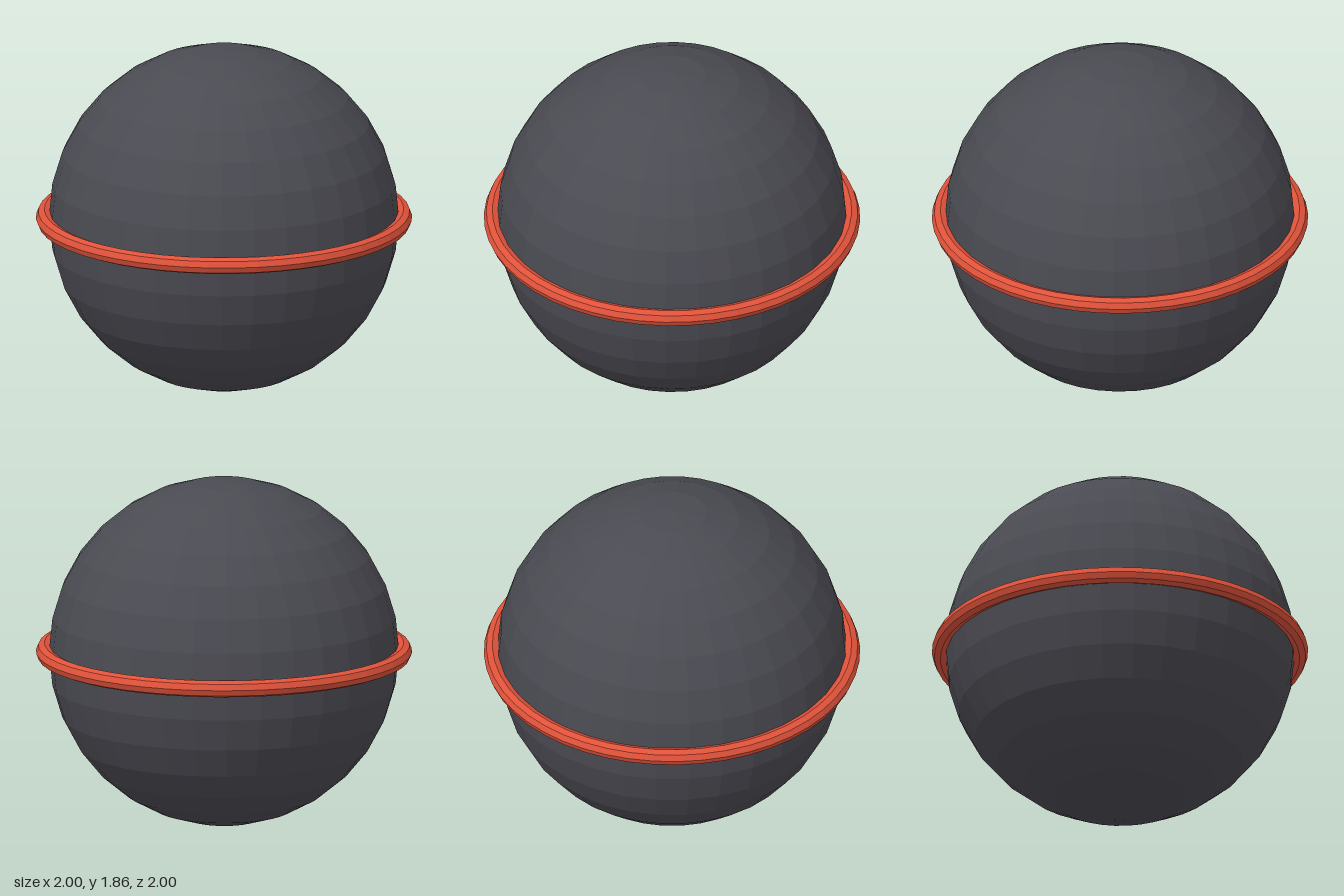
import * as THREE from 'three';

const RADIUS = 0.93;

function addPart(group, name, geometry, color) {
  const material = new THREE.MeshStandardMaterial({ color, flatShading: true });
  const mesh = new THREE.Mesh(geometry, material);
  mesh.name = name;
  mesh.position.y = RADIUS;
  group.add(mesh);
  return mesh;
}

export function createModel() {
  const group = new THREE.Group();
  group.name = 'bandedBall';

  // Faceted ball resting on the ground
  addPart(group, 'ball', new THREE.SphereGeometry(RADIUS, 32, 16), 0x4a4a52);

  // Round band lying flat around the equator
  const band = addPart(group, 'equatorBand', new THREE.TorusGeometry(0.955, 0.045, 8, 48), 0xe0523a);
  band.rotation.x = Math.PI / 2;

  return group;
}
